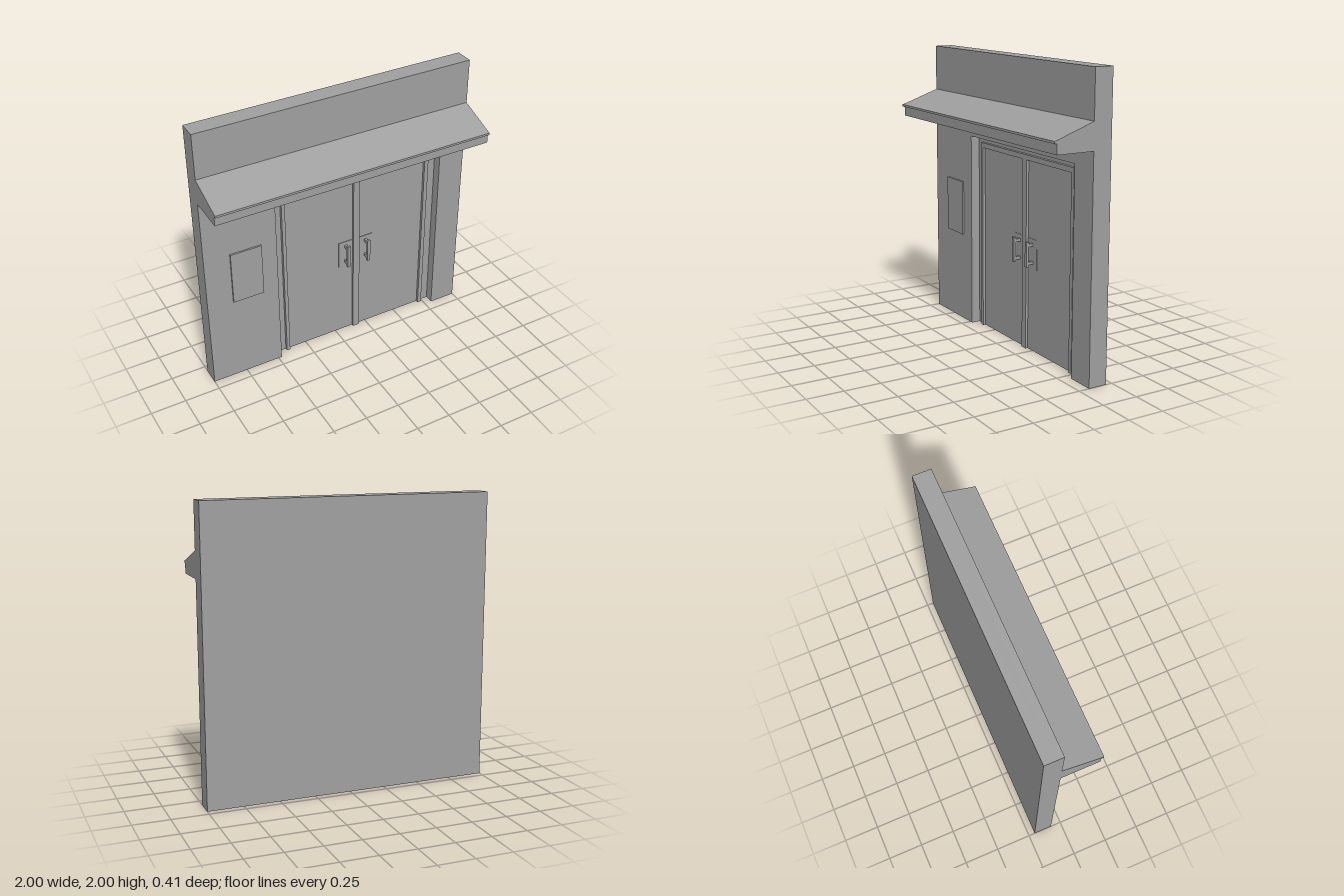
import * as THREE from 'three';

export function createModel() {
  const group = new THREE.Group();
  const grey = new THREE.MeshStandardMaterial({ color: 0xa0a0a0 });
  grey.name = 'plain grey';

  const add = (name, geometry) => {
    const mesh = new THREE.Mesh(geometry, grey);
    mesh.name = name;
    group.add(mesh);
    return mesh;
  };
  // Box given by its extents on each axis
  const box = (name, x0, x1, y0, y1, z0, z1) =>
    add(name, new THREE.BoxGeometry(x1 - x0, y1 - y0, z1 - z0)
      .translate((x0 + x1) / 2, (y0 + y1) / 2, (z0 + z1) / 2));
  // Outline extruded along z from z0 to z1
  const slab = (name, points, z0, z1) =>
    add(name, new THREE.ExtrudeGeometry(
      new THREE.Shape(points.map(([x, y]) => new THREE.Vector2(x, y))),
      { depth: z1 - z0, bevelEnabled: false }).translate(0, 0, z0));

  const back = -0.205, recess = -0.14, front = -0.075;

  // Wall: solid rear layer, front layer with the doorway cut out
  box('wallRear', -1, 1, 0, 2, back, recess);
  slab('wallFront', [
    [-1, 0], [-0.475, 0], [-0.475, 1.395], [0.805, 1.395],
    [0.805, 0], [1, 0], [1, 2], [-1, 2],
  ], recess, front);

  // Door frame around both leaves
  slab('doorFrame', [
    [-0.41, 0], [-0.385, 0], [-0.385, 1.32], [0.71, 1.32],
    [0.71, 0], [0.74, 0], [0.74, 1.355], [-0.41, 1.355],
  ], recess, recess + 0.022);
  box('centrePost', 0.14, 0.19, 0, 1.32, recess, recess + 0.02);

  // Leaves, handle plates and pull handles, mirrored about the post
  const middle = 0.165;
  box('leftLeaf', 0.19, 0.71, 0, 1.32, recess, recess + 0.003);
  box('rightLeaf', -0.385, 0.14, 0, 1.32, recess, recess + 0.003);
  for (const side of [-1, 1]) {
    const x = middle + side * 0.08;
    const px = middle + side * 0.08;
    box('handlePlate', px - 0.055, px + 0.055, 0.58, 0.79, recess, recess + 0.006);
    box('handleBar', x - 0.012, x + 0.012, 0.6, 0.775, recess + 0.042, recess + 0.058);
    for (const y of [0.615, 0.74]) {
      box('handleBracket', x - 0.01, x + 0.01, y, y + 0.02, recess, recess + 0.042);
    }
  }

  // Notice board beside the door
  box('noticeBoard', -0.815, -0.59, 0.65, 1.045, front, front + 0.012);

  // Sloping canopy with a small lip, its side profile drawn as (z, y)
  const profile = [
    [front, 1.5], [0.19, 1.5], [0.19, 1.568], [0.208, 1.568],
    [0.208, 1.583], [0.19, 1.587], [front, 1.68],
  ].map(([z, y]) => new THREE.Vector2(-z, y));
  add('canopy', new THREE.ExtrudeGeometry(new THREE.Shape(profile),
    { depth: 2, bevelEnabled: false }).rotateY(Math.PI / 2).translate(-1, 0, 0));

  return group;
}
